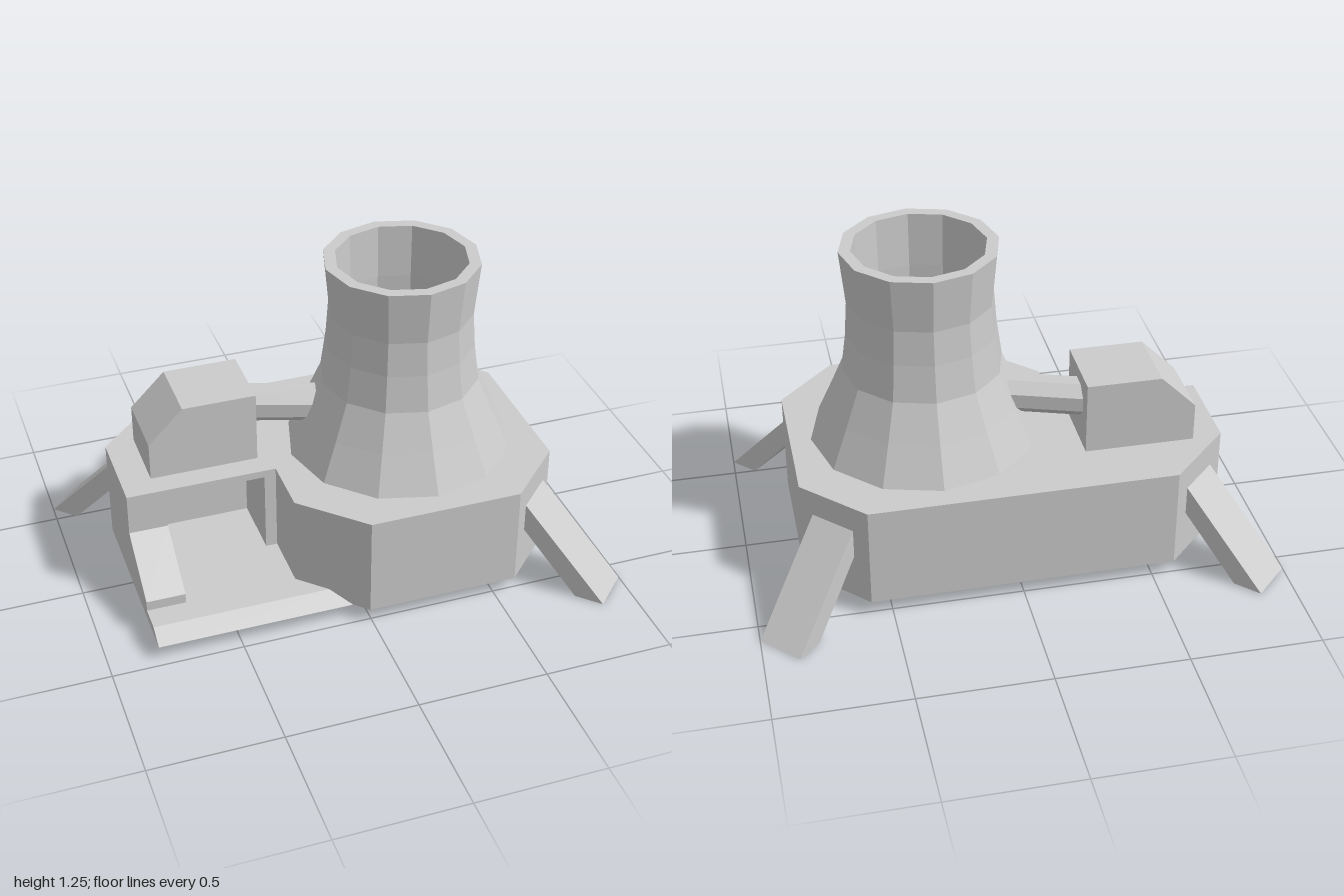
import * as THREE from 'three';

const material = new THREE.MeshStandardMaterial({ color: 0xcccccc, flatShading: true });

function extrude(points, depth) {
  const shape = new THREE.Shape(points.map(([x, y]) => new THREE.Vector2(x, y)));
  return new THREE.ExtrudeGeometry(shape, { depth, bevelEnabled: false });
}

// Plan outline given as [x, z], raised from y0 to y1
function slab(outline, y0, y1) {
  return extrude(outline.map(([x, z]) => [x, -z]), y1 - y0)
    .rotateX(-Math.PI / 2).translate(0, y0, 0);
}

// Side profile given as [z, y], running from x0 to x1
function alongX(profile, x0, x1) {
  return extrude(profile, x1 - x0).rotateY(-Math.PI / 2).translate(x1, 0, 0);
}

export function createModel() {
  const model = new THREE.Group();
  function add(name, geometry, parent = model) {
    const mesh = new THREE.Mesh(geometry, material);
    mesh.name = name;
    parent.add(mesh);
    return mesh;
  }

  // Main body: chamfered outline, with a bay cut into the middle layer
  const outline = [
    [-0.815, -0.28], [-0.58, -0.515], [0.58, -0.52], [0.8, -0.3], [0.8, 0.3],
    [0.58, 0.52], [-0.01, 0.52], [-0.235, 0.3], [-0.235, 0.07],
  ];
  const corner = [-0.815, 0.07];
  const bay = [[-0.28, 0.07], [-0.28, -0.19], [-0.665, -0.19], [-0.665, 0.07]];
  const body = new THREE.Group();
  body.name = 'body';
  model.add(body);
  add('bodyFloor', slab([...outline, corner], 0.06, 0.1), body);
  add('bodyWalls', slab([...outline, ...bay, corner], 0.1, 0.43), body);
  add('bodyRoof', slab([...outline, corner], 0.43, 0.46), body);

  // Low apron in front of the bay, with a sloped front edge
  add('apron', alongX([[0.07, 0.06], [0.47, 0.06], [0.4, 0.1], [0.07, 0.1]], -0.815, -0.06));

  // Sloped buttress beside the bay
  add('buttress', alongX([[0.06, 0.1], [0.3, 0.1], [0.3, 0.14], [0.07, 0.295], [0.06, 0.295]],
    -0.815, -0.665));

  // Hollow twelve-sided cooling tower
  const towerProfile = [
    [0.435, 0.46], [0.367, 0.61], [0.305, 0.755], [0.285, 0.9], [0.275, 1.035], [0.295, 1.245],
    [0.25, 1.245], [0.245, 1.035], [0.25, 0.755], [0.25, 0.48], [0, 0.48],
  ].map(([r, y]) => new THREE.Vector2(r, y));
  add('coolingTower', new THREE.LatheGeometry(towerProfile, 12)).position.x = 0.285;

  // Machine housing on the roof, with one chamfered edge
  add('machineHousing', extrude([
    [-0.7, 0.46], [-0.28, 0.46], [-0.28, 0.745], [-0.565, 0.745], [-0.7, 0.61],
  ], 0.275).translate(0, 0, -0.295));

  // Octagonal pipe from the housing into the tower
  const start = new THREE.Vector3(-0.32, 0.628, -0.178);
  const end = new THREE.Vector3(0.0, 0.628, -0.072);
  const length = start.distanceTo(end);
  const pipe = add('pipe', new THREE.CylinderGeometry(0.073, 0.073, length, 8)
    .rotateY(Math.PI / 8).rotateZ(-Math.PI / 2));
  pipe.position.copy(start).lerp(end, 0.5);
  pipe.rotation.y = -Math.atan2(end.z - start.z, end.x - start.x);

  // Slanted legs on three corners
  const legGeometry = extrude([[0, 0.36], [0, 0.245], [0.225, 0], [0.338, 0]], 0.184)
    .translate(0, 0, -0.092);
  const legs = [
    ['backLeftLeg', 1, -1, 0.408],
    ['frontLeftLeg', 1, 1, 0.406],
    ['backRightLeg', -1, -1, 0.396],
  ];
  for (const [name, sx, sz, z] of legs) {
    const leg = add(name, legGeometry);
    leg.position.set(sx * 0.695, 0, sz * z);
    leg.rotation.y = -Math.atan2(sz, sx);
  }

  return model;
}
